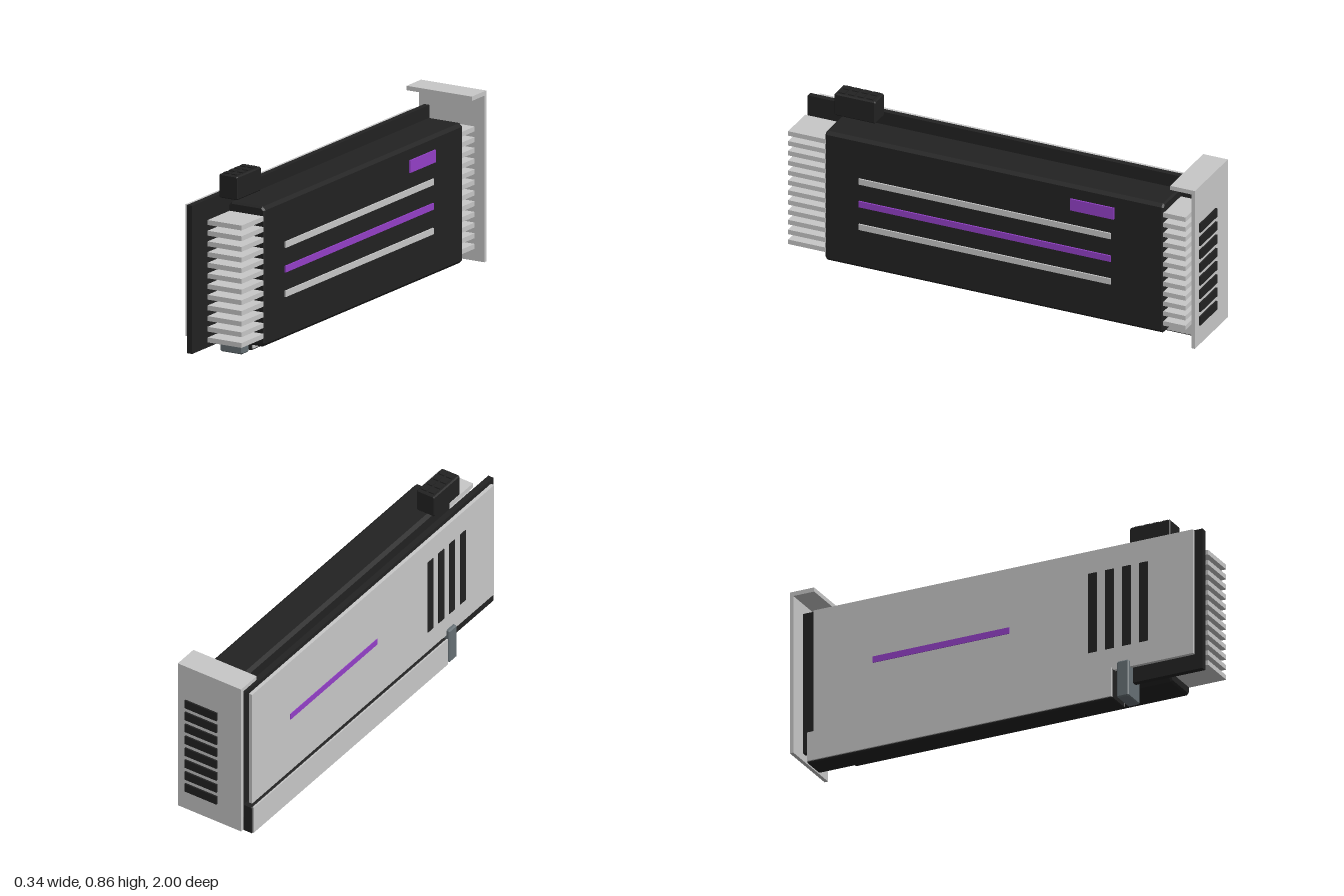
import * as THREE from 'three';

const material = (name, color) => {
  const m = new THREE.MeshStandardMaterial({ color });
  m.name = name;
  return m;
};

export function createModel() {
  const black = material('black plastic', 0x222222);
  const silver = material('light metal', 0xc8c8c8);
  const purple = material('purple accent', 0x9440c8);
  const slate = material('slate latch', 0x667075);

  const model = new THREE.Group();
  model.name = 'expansionCard';

  const group = (name) => {
    const g = new THREE.Group();
    g.name = name;
    model.add(g);
    return g;
  };

  const addMesh = (name, geometry, mat, parent) => {
    const mesh = new THREE.Mesh(geometry, mat);
    mesh.name = name;
    parent.add(mesh);
    return mesh;
  };

  // Plain box given by its extents [min, max] on each axis
  const box = (name, x, y, z, mat, parent = model) => {
    const g = new THREE.BoxGeometry(x[1] - x[0], y[1] - y[0], z[1] - z[0]);
    g.translate((x[0] + x[1]) / 2, (y[0] + y[1]) / 2, (z[0] + z[1]) / 2);
    return addMesh(name, g, mat, parent);
  };

  // Box with chamfered corners (c) in profile and bevelled ends (b)
  const chamferBox = (name, x, y, z, c, b, mat, parent = model) => {
    const [x0, x1] = [x[0] + b, x[1] - b];
    const [y0, y1] = [y[0] + b, y[1] - b];
    const points = [
      [x0 + c, y0], [x1 - c, y0], [x1, y0 + c], [x1, y1 - c],
      [x1 - c, y1], [x0 + c, y1], [x0, y1 - c], [x0, y0 + c],
    ].map(([px, py]) => new THREE.Vector2(px, py));
    const g = new THREE.ExtrudeGeometry(new THREE.Shape(points), {
      depth: z[1] - z[0] - 2 * b,
      bevelEnabled: true, bevelSize: b, bevelThickness: b, bevelSegments: 1,
    });
    g.translate(0, 0, z[0] + b);
    return addMesh(name, g, mat, parent);
  };

  // Circuit board and cooler shroud
  box('circuitBoard', [-0.122, -0.095], [0.077, 0.746], [-0.95, 1], black);
  chamferBox('shroud', [-0.034, 0.152], [0.096, 0.728], [-0.83, 0.8], 0.01, 0.008, black);

  // Horizontal heatsink fins passing through the shroud
  const fins = group('heatsinkFins');
  for (let i = 0; i < 12; i++) {
    const y = 0.146 + i * 0.0482;
    box('fin', [-0.028, 0.146], [y - 0.011, y + 0.011], [-0.935, 0.98], silver, fins);
  }

  // Shroud stripes and badge
  const trim = group('shroudTrim');
  const side = [0.15, 0.159];
  box('lowerStripe', side, [0.286, 0.314], [-0.58, 0.635], silver, trim);
  box('accentStripe', side, [0.397, 0.426], [-0.58, 0.635], purple, trim);
  box('upperStripe', side, [0.508, 0.536], [-0.58, 0.635], silver, trim);
  box('badge', side, [0.607, 0.663], [-0.595, -0.385], purple, trim);

  // Backplate with its stripe and vertical vents
  const back = group('backplate');
  box('backplatePanel', [-0.149, -0.132], [0.144, 0.738], [-0.885, 0.967], silver, back);
  box('backplateStripe', [-0.152, -0.148], [0.425, 0.455], [-0.594, 0.072], purple, back);
  for (let i = 0; i < 4; i++) {
    const z = 0.477 + i * 0.083;
    box('backplateVent', [-0.152, -0.148], [0.25, 0.63], [z - 0.021, z + 0.021], black, back);
  }

  // Mounting bracket with top flange and vents
  const bracket = group('bracket');
  box('bracketPlate', [-0.165, 0.17], [0.068, 0.84], [-0.992, -0.975], silver, bracket);
  box('bracketFlange', [-0.165, 0.17], [0.82, 0.84], [-0.985, -0.873], silver, bracket);
  for (let i = 0; i < 8; i++) {
    const y = 0.186 + i * 0.0648;
    box('bracketVent', [-0.04, 0.129], [y - 0.021, y + 0.021], [-1, -0.991], black, bracket);
  }

  // Slot socket with side plates and retaining latch
  const socket = group('slotSocket');
  chamferBox('socketBody', [-0.165, -0.05], [0.002, 0.146], [-0.908, 0.583], 0.002, 0.004, black, socket);
  for (const x of [-0.172, -0.052]) {
    box('socketSidePlate', [x, x + 0.007], [0.01, 0.147], [-0.905, 0.58], silver, socket);
  }
  chamferBox('latch', [-0.165, -0.052], [0, 0.174], [0.603, 0.66], 0.003, 0.005, slate, socket);

  // Power connector with two rows of pin sockets
  const power = group('powerConnector');
  chamferBox('connectorBody', [-0.072, 0.023], [0.744, 0.851], [0.62, 0.816], 0.003, 0.004, black, power);
  for (const x of [-0.045, -0.004]) {
    for (let i = 0; i < 4; i++) {
      const z = 0.651 + i * 0.0447;
      box('pinSocket', [x - 0.015, x + 0.015], [0.849, 0.856], [z - 0.015, z + 0.015], black, power);
    }
  }

  return model;
}
